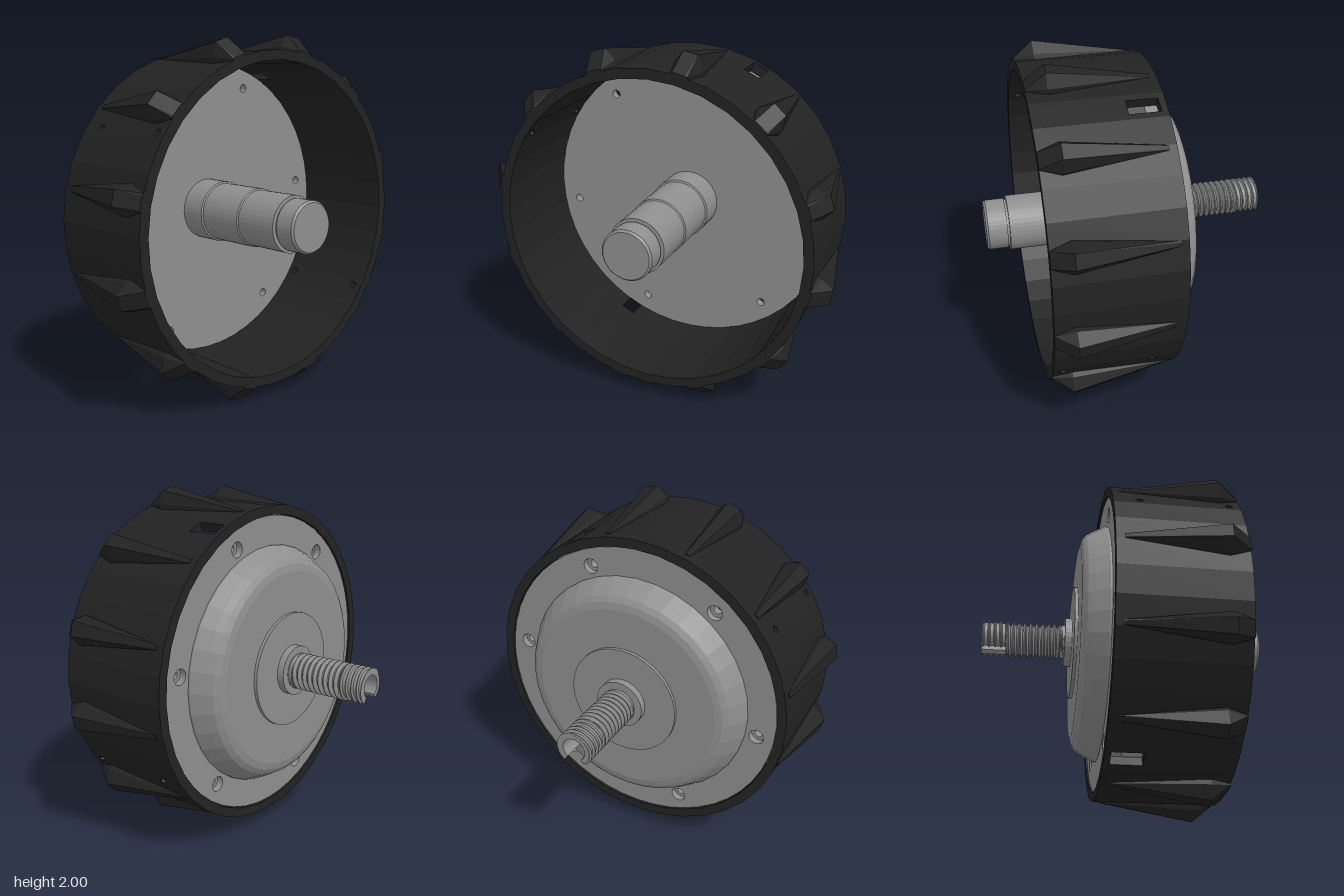
import * as THREE from 'three';
import { mergeGeometries } from 'three/addons/utils/BufferGeometryUtils.js';
import { ConvexGeometry } from 'three/addons/geometries/ConvexGeometry.js';

const rubber = new THREE.MeshStandardMaterial({ color: 0x222222 });
rubber.name = 'black rubber';
const metal = new THREE.MeshStandardMaterial({ color: 0x8e8e8e });
metal.name = 'grey metal';
const threadMetal = new THREE.MeshStandardMaterial({ color: 0x8e8e8e, side: THREE.DoubleSide });
threadMetal.name = 'grey thread metal';

const rad = THREE.MathUtils.degToRad;

// Solid of revolution around z; the profile is [radius, z] with rising z
function turned(profile, sides) {
  const g = new THREE.LatheGeometry(profile.map(p => new THREE.Vector2(p[0], p[1])), sides).rotateX(Math.PI / 2);
  const flat = g.toNonIndexed();
  flat.computeVertexNormals();
  return flat;
}

function circlePath(x, y, r, n = 16) {
  const pts = [];
  for (let i = 0; i < n; i++) {
    const a = i / n * Math.PI * 2;
    pts.push(new THREE.Vector2(x + r * Math.cos(a), y + r * Math.sin(a)));
  }
  return pts;
}

// Rim band: flat wall panels in a ring, some with windows or pin holes
function rimGeometry() {
  const n = 36, outer = 0.914, inner = 0.86, zBack = -0.135, zFront = 0.56;
  const half = outer * Math.tan(Math.PI / n);
  const panels = [];
  for (let i = 0; i < n; i++) {
    const deg = 4 + i * 10;
    const shape = new THREE.Shape([
      new THREE.Vector2(-half, zBack), new THREE.Vector2(half, zBack),
      new THREE.Vector2(half, zFront), new THREE.Vector2(-half, zFront)]);
    if (deg === 64 || deg === 244) {
      shape.holes.push(new THREE.Path([
        new THREE.Vector2(-0.045, -0.1), new THREE.Vector2(-0.045, 0.07),
        new THREE.Vector2(0.045, 0.07), new THREE.Vector2(0.045, -0.1)]));
    }
    if (deg === 144 || deg === 324) {
      for (const z of [0.01, 0.5]) shape.holes.push(new THREE.Path(circlePath(0.032, z, 0.02, 12)));
    }
    const g = new THREE.ExtrudeGeometry(shape, { depth: outer - inner, bevelEnabled: false });
    const p = g.attributes.position;
    for (let k = 0; k < p.count; k++) {
      const r = inner + p.getZ(k);
      p.setXYZ(k, p.getX(k) * r / outer, p.getY(k), r);
    }
    g.computeVertexNormals();
    const c = Math.cos(rad(deg)), s = Math.sin(rad(deg));
    g.applyMatrix4(new THREE.Matrix4().makeBasis(
      new THREE.Vector3(-s, c, 0), new THREE.Vector3(0, 0, 1), new THREE.Vector3(c, s, 0)));
    panels.push(g);
  }
  return mergeGeometries(panels);
}

// Tread lug pointing along +x: [z, half base, half top, top radius]
function lugGeometry() {
  const pts = [];
  for (const [z, base, top, r] of [
    [0.56, 0.045, 0.032, 0.925], [0.45, 0.082, 0.042, 1.013], [-0.09, 0.014, 0.007, 0.922]]) {
    for (const s of [-1, 1]) {
      pts.push(new THREE.Vector3(0.885, s * base, z), new THREE.Vector3(Math.min(0.94, r - 0.003), s * base, z),
        new THREE.Vector3(r, s * top, z));
    }
  }
  return new ConvexGeometry(pts);
}

// Flat disc with six screw holes
function plateGeometry(zBack, zFront, holeRadius) {
  const shape = new THREE.Shape(circlePath(0, 0, 0.858, 48));
  for (let i = 0; i < 6; i++) {
    const a = rad(8 + i * 60);
    shape.holes.push(new THREE.Path(circlePath(0.757 * Math.cos(a), 0.757 * Math.sin(a), holeRadius)));
  }
  return new THREE.ExtrudeGeometry(shape, { depth: zFront - zBack, bevelEnabled: false }).translate(0, 0, zBack);
}

// Helical thread: a zigzag lathe sheared along its axis by one pitch per turn
function threadGeometry(z0, z1, phiStart, phiLength) {
  const pitch = 0.034, pts = [];
  for (let z = z0 - pitch; z < z1 + pitch; z += pitch) {
    pts.push(new THREE.Vector2(0.08, z), new THREE.Vector2(0.08, z + pitch * 0.15),
      new THREE.Vector2(0.104, z + pitch * 0.5), new THREE.Vector2(0.104, z + pitch * 0.65));
  }
  const sides = 32;
  const g = new THREE.LatheGeometry(pts, sides, phiStart, phiLength);
  const p = g.attributes.position;
  for (let i = 0; i < p.count; i++) {
    const phi = phiStart + Math.floor(i / pts.length) / sides * phiLength;
    p.setY(i, THREE.MathUtils.clamp(p.getY(i) + pitch * phi / (Math.PI * 2), z0, z1));
  }
  const flat = g.rotateX(Math.PI / 2).toNonIndexed();
  flat.computeVertexNormals();
  return flat;
}

export function createModel() {
  const model = new THREE.Group();
  const wheel = new THREE.Group();
  wheel.name = 'wheel';
  wheel.position.y = 1;
  model.add(wheel);
  const add = (name, geometry, material) => {
    const m = new THREE.Mesh(geometry, material);
    m.name = name;
    wheel.add(m);
    return m;
  };

  // Tyre
  add('rim', rimGeometry(), rubber);
  const lug = lugGeometry();
  for (let i = 0; i < 12; i++) add('treadLug', lug, rubber).rotation.z = rad(18 + i * 30);

  // Hub plate: narrow holes in front, counterbores behind
  add('hubPlateFront', plateGeometry(-0.085, -0.035, 0.024), metal);
  add('hubPlateBack', plateGeometry(-0.125, -0.085, 0.044), metal);

  // Domed back cover with washer and collar
  add('backDome', turned([[0, -0.275], [0.56, -0.275], [0.6, -0.266], [0.63, -0.246],
    [0.652, -0.21], [0.692, -0.135], [0.692, -0.12]], 36), metal);
  add('backWasher', turned([[0, -0.294], [0.328, -0.294], [0.328, -0.27]], 40), metal);
  add('backCollar', turned([[0, -0.36], [0.1, -0.36], [0.1, -0.335], [0.142, -0.335], [0.142, -0.29]], 32), metal);

  // Stepped front axle with a groove behind the tip
  add('frontAxle', turned([[0.175, -0.04], [0.175, 0.12], [0.165, 0.125], [0.165, 0.41], [0.157, 0.415],
    [0.157, 0.68], [0.135, 0.68], [0.135, 0.692], [0.143, 0.692], [0.143, 0.798], [0.132, 0.81], [0, 0.81]], 40), metal);

  // Threaded rear axle, hollow and slotted underneath at its end
  const slot = 0.65, zSlot = -0.67, zEnd = -0.812;
  add('rearAxleCore', new THREE.CylinderGeometry(0.083, 0.083, 0.35, 32).rotateX(Math.PI / 2)
    .translate(0, 0, zSlot + 0.175), metal);
  add('rearThread', threadGeometry(zSlot, -0.34, 0, Math.PI * 2), threadMetal);
  add('slottedThread', threadGeometry(zEnd, zSlot, slot, Math.PI * 2 - 2 * slot), threadMetal);
  const sleeve = new THREE.Shape();
  const a0 = -Math.PI / 2 + slot, a1 = Math.PI * 1.5 - slot;
  sleeve.absarc(0, 0, 0.092, a0, a1, false);
  sleeve.absarc(0, 0, 0.066, a1, a0, true);
  add('slottedSleeve', new THREE.ExtrudeGeometry(sleeve, {
    depth: zSlot - zEnd, bevelEnabled: false, curveSegments: 24 }).translate(0, 0, zEnd), metal);

  return model;
}
